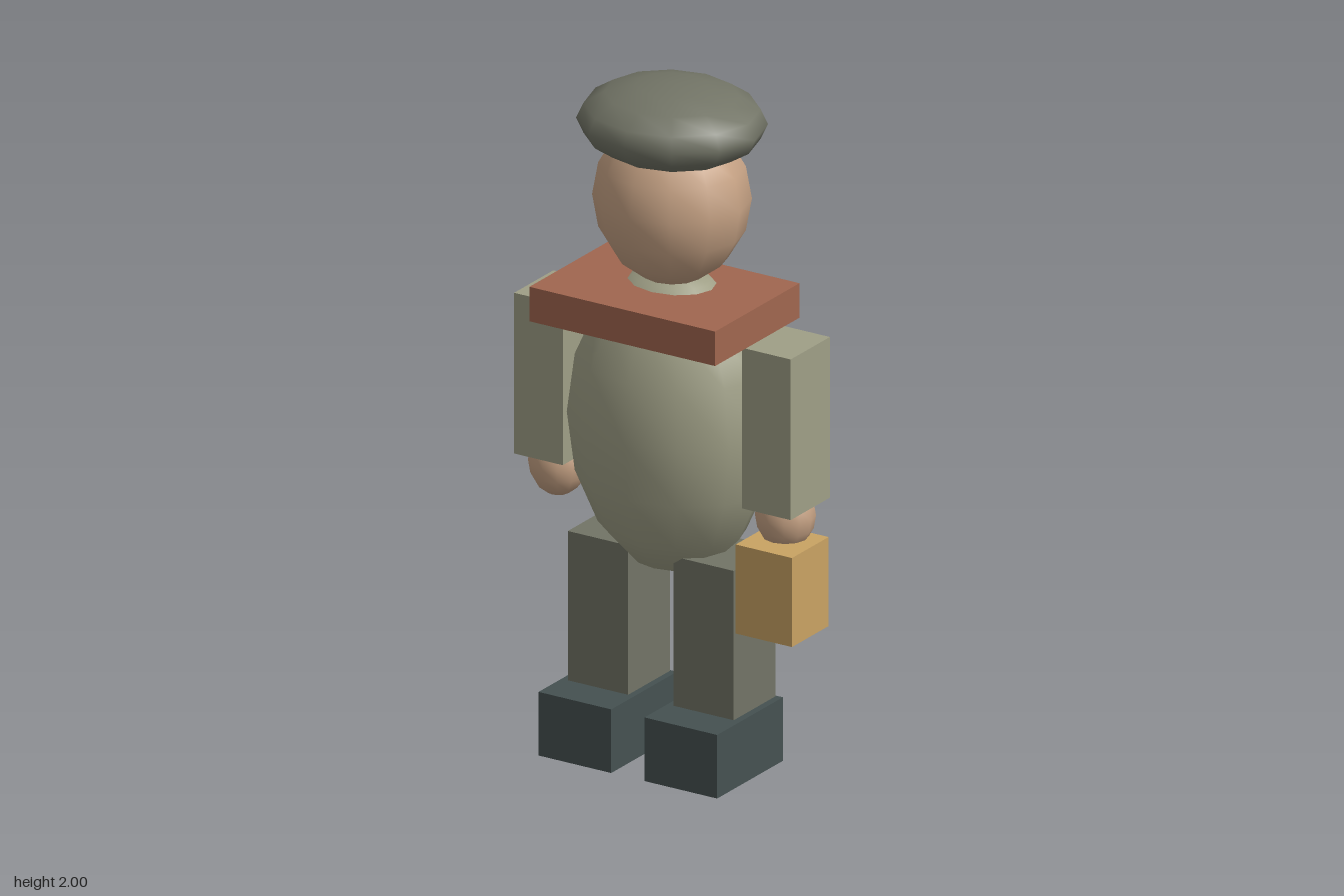
import * as THREE from 'three';

const makeMaterial = (name, color) => {
  const m = new THREE.MeshStandardMaterial({ color });
  m.name = name;
  return m;
};

export function createModel() {
  const model = new THREE.Group();
  model.name = 'traveller';

  const sage = makeMaterial('sage coat', 0x9f9f86);
  const olive = makeMaterial('dark olive cloth', 0x727466);
  const skin = makeMaterial('skin', 0xc6a284);
  const rust = makeMaterial('rust scarf', 0xa0664f);
  const slate = makeMaterial('slate boots', 0x455151);
  const amber = makeMaterial('amber lantern', 0xc9a363);

  const CX = -0.012; // the body's own centre line
  const CZ = 0.05;

  const add = (name, geometry, material, x, y, z) => {
    const mesh = new THREE.Mesh(geometry, material);
    mesh.name = name;
    mesh.position.set(x, y, z);
    model.add(mesh);
    return mesh;
  };
  // box from its lower and upper limits on each axis
  const box = (name, material, [x0, x1], [y0, y1], [z0, z1]) =>
    add(name, new THREE.BoxGeometry(x1 - x0, y1 - y0, z1 - z0), material,
      (x0 + x1) / 2, (y0 + y1) / 2, (z0 + z1) / 2);
  // coarse smooth-shaded ellipsoid
  const ball = (name, material, x, y, z, rx, ry, rz) =>
    add(name, new THREE.SphereGeometry(1, 12, 8).scale(rx, ry, rz), material, x, y, z);

  // body, head and hat
  ball('torso', sage, CX, 1.0, CZ, 0.31, 0.455, 0.245);
  ball('head', skin, CX, 1.66, CZ, 0.225, 0.25, 0.214);
  ball('beret', olive, CX, 1.885, CZ, 0.274, 0.115, 0.247);
  box('scarf', rust, [-0.318, 0.296], [1.305, 1.408], [-0.125, 0.305]);

  // limbs, mirrored about the body's centre line
  for (const [side, s] of [['left', 1], ['right', -1]]) {
    const span = (a, b) => [CX + s * a, CX + s * b].sort((p, q) => p - q);
    box(side + 'Arm', sage, span(0.296, 0.457), [0.825, 1.305], [-0.05, 0.15]);
    ball(side + 'Hand', skin, CX + s * 0.375, 0.79, CZ, 0.085, 0.1, 0.085);
    box(side + 'Leg', olive, span(0.075, 0.274), [0.17, 0.636], [-0.055, 0.158]);
    box(side + 'Boot', slate, span(0.055, 0.295), [0, 0.19], [-0.06, 0.275]);
  }

  // carried things
  box('backpack', olive, [-0.22, 0.198], [0.708, 1.176], [-0.305, -0.13]);
  box('lantern', amber, [0.284, 0.47], [0.462, 0.728], [-0.005, 0.182]);

  return model;
}
